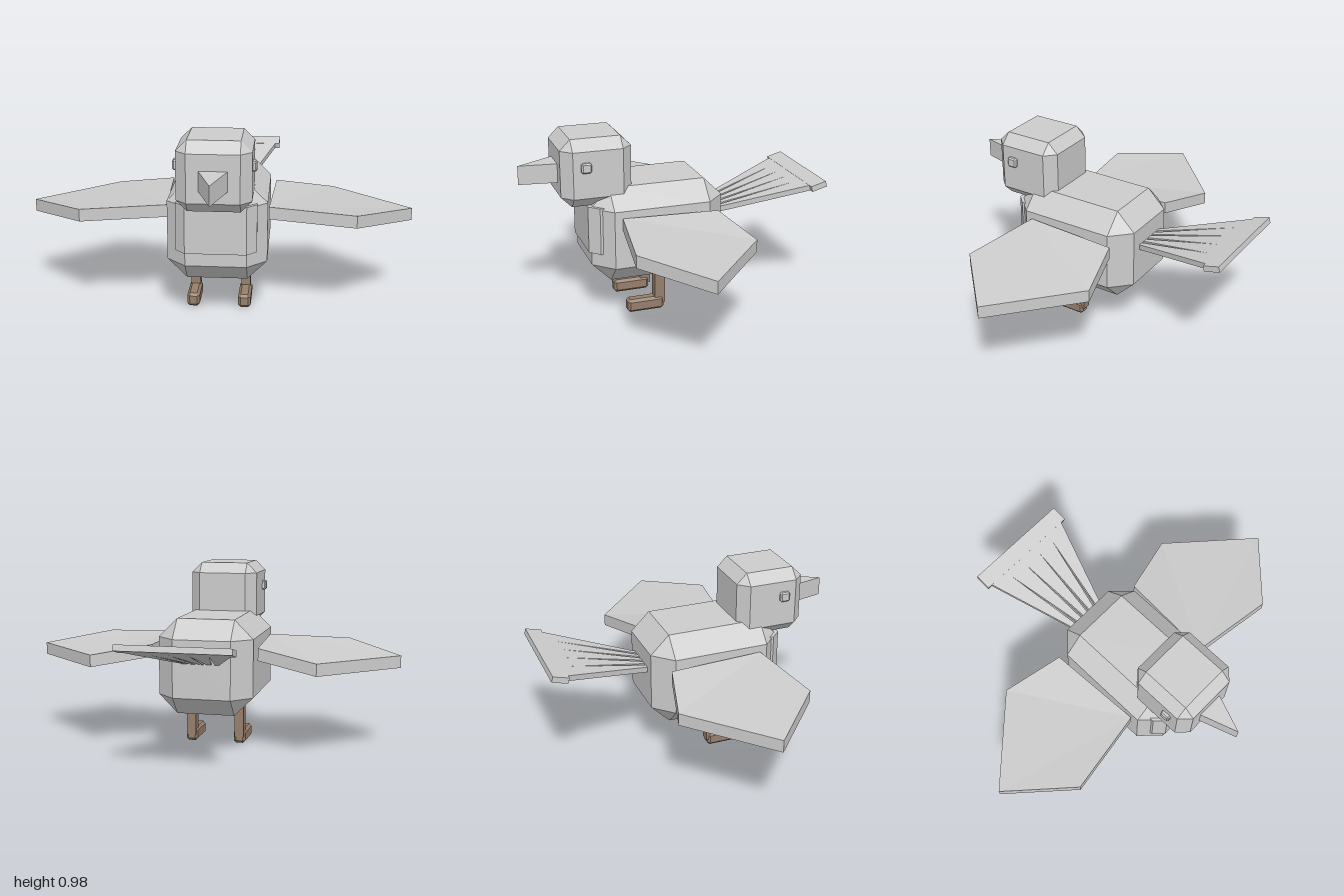
import * as THREE from 'three';
import { ConvexGeometry } from 'three/addons/geometries/ConvexGeometry.js';

const plumage = new THREE.MeshStandardMaterial({ color: 0xcccccc, flatShading: true });
plumage.name = 'plumage grey';
const legBrown = new THREE.MeshStandardMaterial({ color: 0x967f6c, flatShading: true });
legBrown.name = 'leg brown';

function mesh(name, geometry, material = plumage) {
  const m = new THREE.Mesh(geometry, material);
  m.name = name;
  return m;
}

// Box given by its limits, with every edge cut at 45 degrees by c
function chamferBox(x0, x1, y0, y1, z0, z1, c) {
  const h = [(x1 - x0) / 2, (y1 - y0) / 2, (z1 - z0) / 2];
  const pts = [];
  for (const sx of [-1, 1]) for (const sy of [-1, 1]) for (const sz of [-1, 1]) {
    for (let full = 0; full < 3; full++) {
      const d = h.map((v, i) => (i === full ? v : v - c));
      pts.push(new THREE.Vector3(sx * d[0], sy * d[1], sz * d[2]));
    }
  }
  const g = new ConvexGeometry(pts);
  g.translate((x0 + x1) / 2, (y0 + y1) / 2, (z0 + z1) / 2);
  return g;
}

// Prism between a top outline [x, y, z] and the same outline lowered by t.
// The outline runs clockwise seen from above when side is 1.
function slab(outline, t, side) {
  const pos = [];
  const tri = (a, b, c) => pos.push(...a, ...(side > 0 ? [...b, ...c] : [...c, ...b]));
  const top = outline.map(([x, y, z]) => [x * side, y, z]);
  const low = top.map(([x, y, z]) => [x, y - t, z]);
  const n = top.length;
  for (let i = 1; i < n - 1; i++) {
    tri(top[0], top[i + 1], top[i]);
    tri(low[0], low[i], low[i + 1]);
  }
  for (let i = 0; i < n; i++) {
    const j = (i + 1) % n;
    tri(top[i], top[j], low[j]);
    tri(top[i], low[j], low[i]);
  }
  const g = new THREE.BufferGeometry();
  g.setAttribute('position', new THREE.Float32BufferAttribute(pos, 3));
  g.computeVertexNormals();
  return g;
}

function plate(points, depth) {
  const shape = new THREE.Shape(points.map(([x, y]) => new THREE.Vector2(x, y)));
  return new THREE.ExtrudeGeometry(shape, { depth, bevelEnabled: false });
}

export function createModel() {
  const bird = new THREE.Group();
  bird.name = 'bird';

  // Body and head
  bird.add(mesh('body', chamferBox(-0.255, 0.255, 0.205, 0.715, -0.247, 0.465, 0.1)));
  bird.add(mesh('head', chamferBox(-0.185, 0.185, 0.625, 0.98, 0.24, 0.61, 0.055)));

  // Breast plate wrapped around the front of the body
  const breast = plate([
    [-0.205, -0.4], [-0.205, -0.428], [-0.155, -0.479],
    [0.155, -0.479], [0.205, -0.428], [0.205, -0.4],
  ], 0.25);
  breast.rotateX(-Math.PI / 2);
  breast.translate(0, 0.375, 0);
  bird.add(mesh('breastPlate', breast));

  // Wedge beak, drooping slightly to its tip
  bird.add(mesh('beak', slab([[-0.073, 0.843, 0.6], [0.073, 0.843, 0.6], [0, 0.828, 0.8]], 0.1, 1)));

  // Tail: five feathers joined at a bar, tilted upwards
  const tail = new THREE.Group();
  tail.name = 'tail';
  const outline = [];
  for (let i = -2; i <= 2; i++) {
    outline.push([i * 0.036 - 0.008, 0], [i * 0.036 + 0.008, 0]);
    if (i < 2) outline.push([(i + 0.5) * 0.1, 0.495]);
  }
  outline.push([0.265, 0.55], [-0.265, 0.55]);
  tail.add(mesh('tailFeathers', plate(outline, 0.03)));
  tail.add(mesh('tailBar', plate([[-0.287, 0.537], [0.287, 0.537], [0.287, 0.623], [-0.287, 0.623]], 0.031)));
  tail.position.set(0, 0.477, -0.2);
  tail.rotation.x = -Math.PI / 2 + 0.26;
  bird.add(tail);

  // Wings, eyes, legs and feet in mirrored pairs
  const wing = [
    [0.26, 0.58, 0.325], [0.285, 0.575, -0.18], [0.6, 0.52, -0.265],
    [1, 0.52, 0.1], [0.7, 0.565, 0.39],
  ];
  for (const [side, label] of [[1, 'left'], [-1, 'right']]) {
    const x = side * 0.135;
    const eyeX = side * 0.19;
    bird.add(mesh(label + 'Wing', slab(wing, 0.065, side)));
    bird.add(mesh(label + 'Eye', chamferBox(eyeX - 0.015, eyeX + 0.015, 0.817, 0.869, 0.463, 0.515, 0.007)));
    const leg = new THREE.BoxGeometry(0.05, 0.22, 0.058);
    leg.translate(x, 0.145, 0.096);
    bird.add(mesh(label + 'Leg', leg, legBrown));
    bird.add(mesh(label + 'Foot', chamferBox(x - 0.033, x + 0.033, 0, 0.072, 0.075, 0.275, 0.014), legBrown));
  }
  return bird;
}
